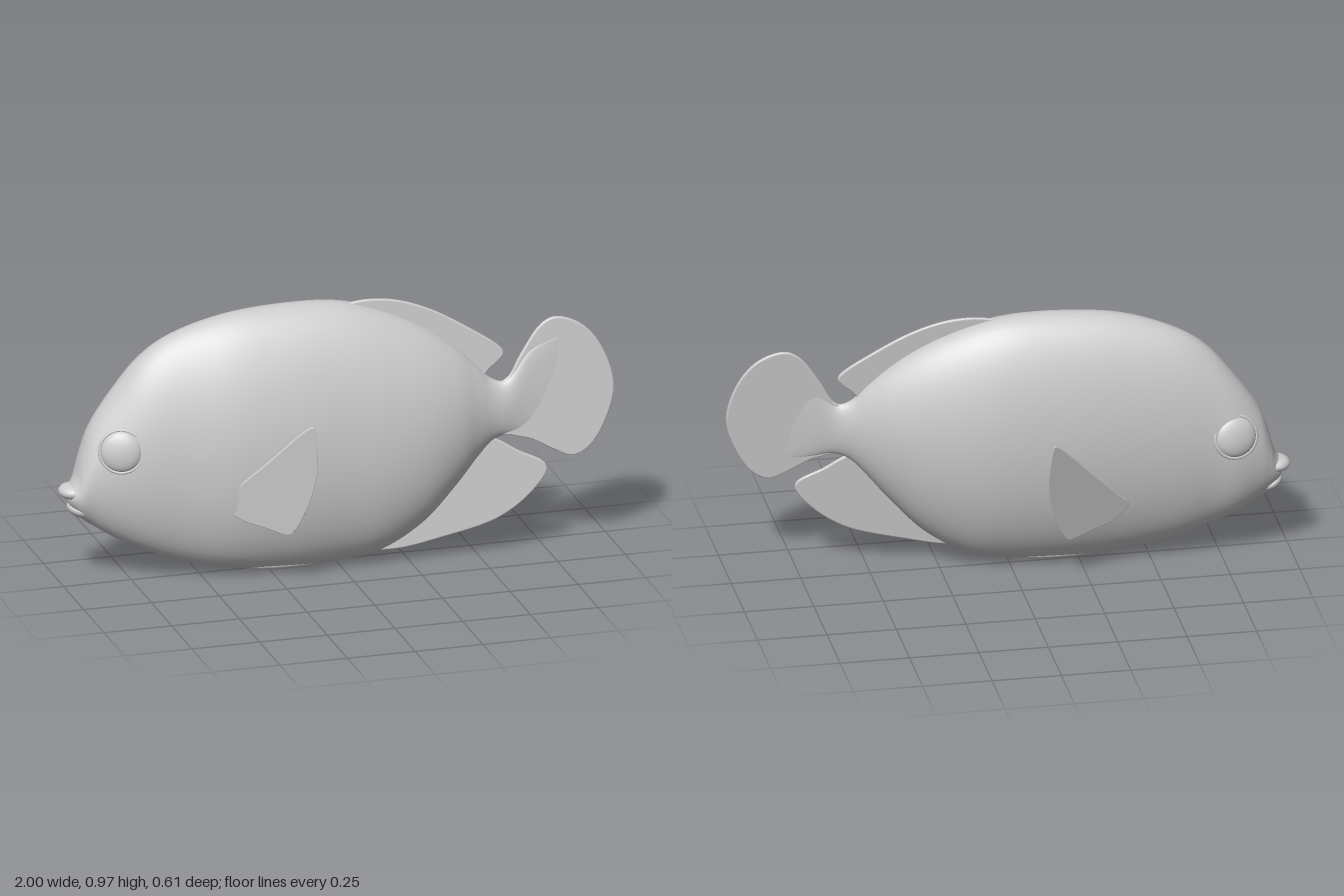
import * as THREE from 'three';

const material = new THREE.MeshStandardMaterial({ color: 0xcccccc });
const finMaterial = new THREE.MeshStandardMaterial({ color: 0xcccccc, side: THREE.DoubleSide });

function addMesh(group, name, geometry, mat = material) {
  const mesh = new THREE.Mesh(geometry, mat);
  mesh.name = name;
  group.add(mesh);
  return mesh;
}

// Body stations from snout to tail root: x, top y, bottom y, centre z, half width
const stations = [
  [-0.972, 0.315, 0.305, -0.062, 0.004],
  [-0.962, 0.355, 0.285, -0.062, 0.045],
  [-0.94, 0.4, 0.255, -0.062, 0.062],
  [-0.918, 0.478, 0.23, -0.064, 0.075],
  [-0.88, 0.575, 0.203, -0.066, 0.092],
  [-0.8, 0.692, 0.152, -0.06, 0.119],
  [-0.7, 0.812, 0.105, -0.045, 0.138],
  [-0.58, 0.89, 0.06, -0.033, 0.158],
  [-0.4, 0.948, 0.02, -0.01, 0.187],
  [-0.2, 0.969, 0.005, 0.0, 0.2],
  [0, 0.965, 0.013, 0.007, 0.198],
  [0.15, 0.928, 0.04, 0.018, 0.188],
  [0.3, 0.862, 0.13, 0.034, 0.161],
  [0.42, 0.782, 0.255, 0.048, 0.12],
  [0.5, 0.708, 0.352, 0.058, 0.078],
  [0.56, 0.645, 0.415, 0.07, 0.046],
  [0.62, 0.64, 0.438, 0.081, 0.026],
  [0.7, 0.735, 0.43, 0.087, 0.013],
  [0.8, 0.78, 0.42, 0.096, 0.003],
];

// Smooth loft of slightly leaning oval sections
function bodyGeometry() {
  const smooth = (pick) => new THREE.CatmullRomCurve3(
    stations.map((s) => new THREE.Vector3(...pick(s))), false, 'catmullrom', 0.5);
  const profile = smooth((s) => [s[0], s[1], s[2]]);
  const breadth = smooth((s) => [s[3], s[4], 0]);
  const rows = 108, sides = 56, positions = [], index = [];
  for (let i = 0; i <= rows; i++) {
    const { x, y: top, z: bottom } = profile.getPoint(i / rows);
    const { x: centre, y: half } = breadth.getPoint(i / rows);
    for (let j = 0; j < sides; j++) {
      const a = (j / sides) * Math.PI * 2;
      const y = (top + bottom) / 2 + Math.cos(a) * (top - bottom) / 2;
      const narrowing = 1 - 0.08 * Math.max(0, Math.cos(a)) ** 2;
      positions.push(x, y, centre + Math.sin(a) * half * narrowing - 0.06 * (y - 0.48));
      if (i < rows) {
        const b = i * sides + j, c = i * sides + (j + 1) % sides;
        index.push(b, c, b + sides, c, c + sides, b + sides);
      }
    }
  }
  const geometry = new THREE.BufferGeometry();
  geometry.setAttribute('position', new THREE.Float32BufferAttribute(positions, 3));
  geometry.setIndex(index);
  geometry.computeVertexNormals();
  return geometry;
}

// Thin rounded-edge fin: outline in x/y, laid onto a slanted plane z(x, y)
function finGeometry(outline, plane, thickness) {
  const curve = new THREE.CatmullRomCurve3(
    outline.map(([x, y]) => new THREE.Vector3(x, y, 0)), true, 'centripetal');
  const shape = new THREE.Shape(curve.getPoints(90).slice(0, -1).map((p) => new THREE.Vector2(p.x, p.y)));
  const bevel = thickness * 0.4;
  const geometry = new THREE.ExtrudeGeometry(shape, {
    depth: thickness - 2 * bevel, bevelEnabled: true, bevelThickness: bevel,
    bevelSize: bevel, bevelOffset: -bevel, bevelSegments: 3,
  });
  geometry.translate(0, 0, bevel - thickness / 2);
  const p = geometry.attributes.position;
  for (let i = 0; i < p.count; i++) p.setZ(i, p.getZ(i) + plane(p.getX(i), p.getY(i)));
  geometry.computeVertexNormals();
  return geometry;
}

function ellipsoid(group, name, centre, radii) {
  const mesh = addMesh(group, name, new THREE.SphereGeometry(1, 32, 20));
  mesh.position.set(...centre);
  mesh.scale.set(...radii);
  return mesh;
}

// Low domed eye with a thin lid ring, facing along the normal
function makeEye(name, centre, normal) {
  const eye = new THREE.Group();
  eye.name = name;
  ellipsoid(eye, 'eyeball', [0, 0, 0], [0.074, 0.074, 0.028]);
  addMesh(eye, 'eyelidRing', new THREE.TorusGeometry(0.077, 0.007, 10, 48));
  eye.position.set(...centre);
  eye.quaternion.setFromUnitVectors(new THREE.Vector3(0, 0, 1), new THREE.Vector3(...normal).normalize());
  return eye;
}

export function createModel() {
  const fish = new THREE.Group();
  fish.name = 'fish';
  addMesh(fish, 'body', bodyGeometry());

  // Lips with an open notch between them
  ellipsoid(fish, 'upperLip', [-0.947, 0.335, -0.06], [0.053, 0.029, 0.058]);
  ellipsoid(fish, 'lowerLip', [-0.926, 0.264, -0.055], [0.047, 0.026, 0.052]).rotation.z = -0.4;

  fish.add(makeEye('leftEye', [-0.8, 0.503, 0.045], [-0.35, 0.15, 0.92]));
  fish.add(makeEye('rightEye', [-0.785, 0.495, -0.169], [-0.15, 0.15, -1]));

  // Upright fins share the body's slanted middle plane
  const middle = (x, y) => 0.07 + 0.09 * (x - 0.6) - 0.1 * (y - 0.6);
  const uprightFins = {
    tailFin: [[0.58, 0.61], [0.625, 0.65], [0.665, 0.72], [0.745, 0.83], [0.8, 0.853], [0.89, 0.82],
      [0.96, 0.735], [1, 0.59], [0.96, 0.455], [0.9, 0.37], [0.842, 0.345], [0.78, 0.37],
      [0.7, 0.413], [0.64, 0.43], [0.58, 0.45]],
    dorsalFin: [[0, 0.93], [0.08, 0.958], [0.2, 0.958], [0.33, 0.92], [0.48, 0.838], [0.6, 0.752],
      [0.606, 0.73], [0.555, 0.68], [0.5, 0.63], [0.35, 0.72], [0.15, 0.85]],
    analFin: [[0.08, 0.06], [0.2, 0.05], [0.355, 0.078], [0.57, 0.137], [0.69, 0.22], [0.75, 0.3],
      [0.742, 0.328], [0.65, 0.377], [0.58, 0.42], [0.5, 0.45], [0.35, 0.32], [0.2, 0.15]],
  };
  for (const [name, outline] of Object.entries(uprightFins)) {
    addMesh(fish, name, finGeometry(outline, middle, 0.015), finMaterial);
  }

  // Side fins flare outwards; the right one sits a little further back and lower
  const sideOutline = [[-0.46, 0.31], [-0.41, 0.37], [-0.32, 0.465], [-0.185, 0.61], [-0.168, 0.618],
    [-0.155, 0.55], [-0.152, 0.44], [-0.18, 0.31], [-0.222, 0.215], [-0.24, 0.198], [-0.32, 0.222], [-0.4, 0.25]];
  addMesh(fish, 'leftSideFin', finGeometry(sideOutline,
    (x, y) => 0.17 + 0.475 * (x + 0.41) + 0.064 * (y - 0.37), 0.009), finMaterial);
  addMesh(fish, 'rightSideFin', finGeometry(sideOutline.map(([x, y]) => [x + 0.06, y - 0.045]),
    (x, y) => -(0.192 + 0.215 * (x + 0.35) + 0.245 * (y - 0.33)), 0.009), finMaterial);

  // Folded fin lying flat under the belly
  ellipsoid(fish, 'bellyFin', [-0.18, 0.027, 0.028], [0.19, 0.027, 0.058]);
  return fish;
}
